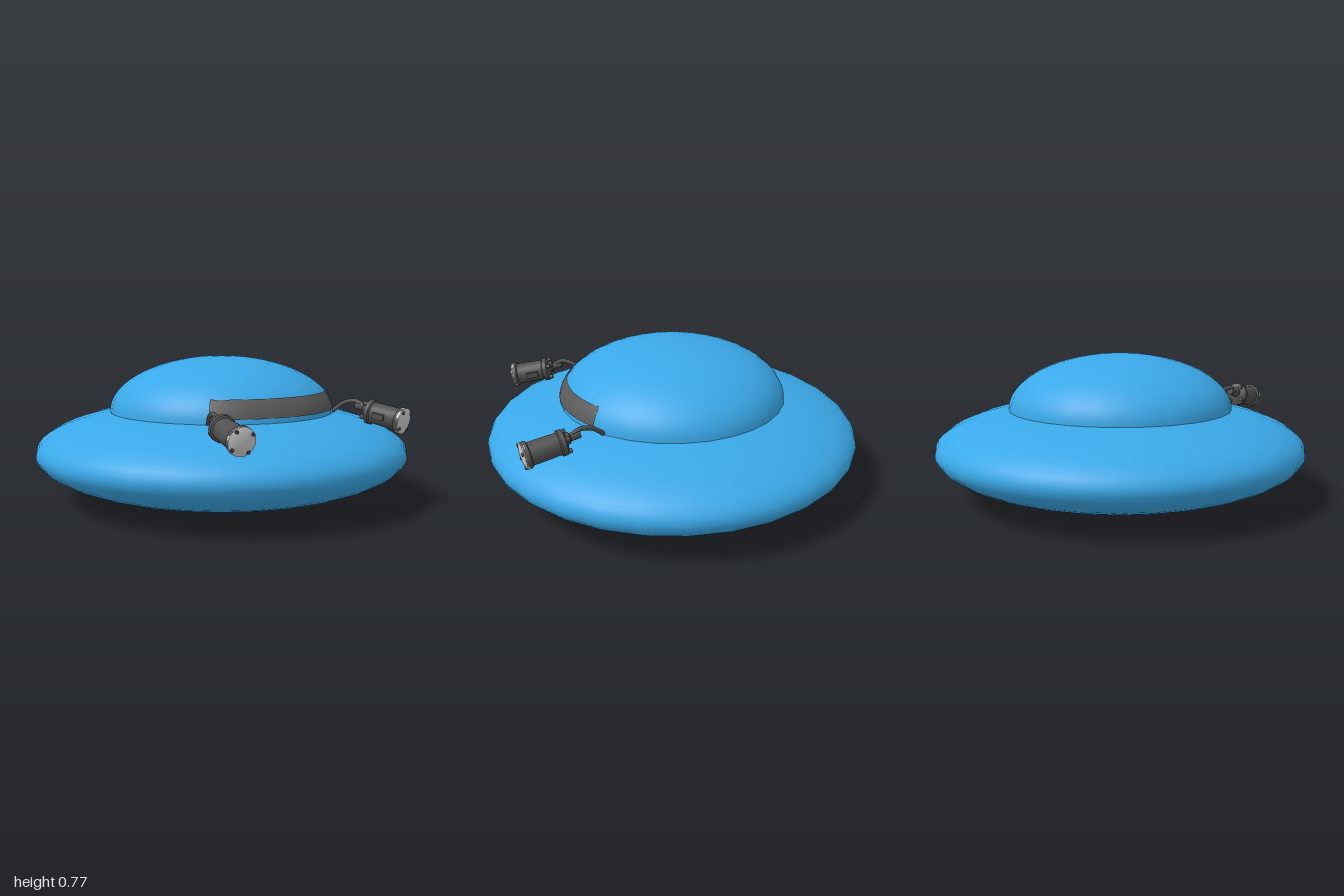
import * as THREE from 'three';
import { toCreasedNormals } from 'three/addons/utils/BufferGeometryUtils.js';

const paint = (color, side = THREE.FrontSide) => new THREE.MeshStandardMaterial({ color, side });
const blue = paint(0x3aa8e8, THREE.DoubleSide);
const glass = paint(0x5a5a5a, THREE.DoubleSide);
const dark = paint(0x505050, THREE.DoubleSide);
const light = paint(0xcccccc);
const deg = Math.PI / 180;
const SIDES = 30;

function add(parent, name, geometry, material) {
  const mesh = new THREE.Mesh(geometry, material);
  mesh.name = name;
  parent.add(mesh);
  return mesh;
}

// Points of an ellipse from angle a to b (degrees above the horizontal)
function ellipse(r, h, y, a, b, n) {
  const pts = [];
  for (let i = 0; i <= n; i++) {
    const t = (a + ((b - a) * i) / n) * deg;
    pts.push(new THREE.Vector2(Math.max(0, r * Math.cos(t)), y + h * Math.sin(t)));
  }
  return pts;
}

// Turned part lying along z, with sharp edges kept
function turned(profile, sides) {
  const geo = new THREE.LatheGeometry(profile.map(([r, z]) => new THREE.Vector2(r, z)), sides);
  return toCreasedNormals(geo.rotateX(Math.PI / 2), 40 * deg);
}

// Four small studs in a ring facing along z
function studs(parent, name, ring, z, r, depth) {
  for (let i = 0; i < 4; i++) {
    const a = (35 + 90 * i) * deg;
    const stud = add(parent, name, new THREE.CylinderGeometry(r, r, depth, 8).rotateX(Math.PI / 2), dark);
    stud.position.set(ring * Math.cos(a), ring * Math.sin(a), z);
  }
}

function makeLamp(s) {
  const lamp = new THREE.Group();
  lamp.name = s > 0 ? 'leftLamp' : 'rightLamp';

  // Bent arm rising from the rim of the dome
  const path = new THREE.CatmullRomCurve3([
    [0.405, 0.465, 0.42], [0.425, 0.495, 0.45], [0.447, 0.53, 0.495],
    [0.468, 0.541, 0.55], [0.478, 0.525, 0.585], [0.485, 0.495, 0.63],
  ].map(([x, y, z]) => new THREE.Vector3(s * x, y, z)));
  add(lamp, 'arm', new THREE.TubeGeometry(path, 24, 0.012, 8), dark);

  // Housing is built along local z with its front at the origin
  const head = new THREE.Group();
  head.name = 'lampHead';
  const front = new THREE.Vector3(s * 0.528, 0.457, 0.825);
  const rear = new THREE.Vector3(s * 0.487, 0.493, 0.62);
  head.position.copy(front);
  head.quaternion.setFromUnitVectors(new THREE.Vector3(0, 0, 1), front.clone().sub(rear).normalize());
  lamp.add(head);

  add(head, 'housing', turned([
    [0, -0.215], [0.045, -0.21], [0.065, -0.2], [0.065, -0.178], [0.056, -0.172],
    [0.058, -0.03], [0.068, -0.024], [0.068, 0], [0, 0],
  ], 20), dark);
  add(head, 'lens', turned([[0.068, -0.012], [0.068, 0.002], [0.05, 0.009], [0.025, 0.013], [0, 0.014]], 20), light);
  studs(head, 'lensStud', 0.057, 0.006, 0.009, 0.012);
  studs(head, 'rearStud', 0.05, -0.213, 0.012, 0.02);

  // Socket joining the arm to the housing
  add(head, 'socket', turned([[0, -0.285], [0.018, -0.285], [0.02, -0.235], [0.03, -0.228], [0.03, -0.2], [0, -0.2]], 12), dark)
    .position.y = 0.012;
  // Small switch box on the inner side
  add(head, 'switchBox', new THREE.BoxGeometry(0.02, 0.03, 0.065), dark).position.set(-s * 0.06, 0, -0.115);
  return lamp;
}

export function createModel() {
  const model = new THREE.Group();
  model.name = 'flyingSaucer';

  add(model, 'saucerBody', new THREE.LatheGeometry(ellipse(1, 0.265, 0.265, -90, 90, 32), SIDES, 10 * deg), blue);
  add(model, 'dome', new THREE.LatheGeometry(ellipse(0.605, 0.297, 0.474, -1, 90, 16), SIDES, 10 * deg), blue);

  // Curved window band following the front of the dome
  add(model, 'window', new THREE.LatheGeometry(
    ellipse(0.609, 0.3, 0.474, 5, 23, 5), 20, -43.3 * deg, 81.5 * deg), glass);

  for (const s of [1, -1]) model.add(makeLamp(s));
  return model;
}
